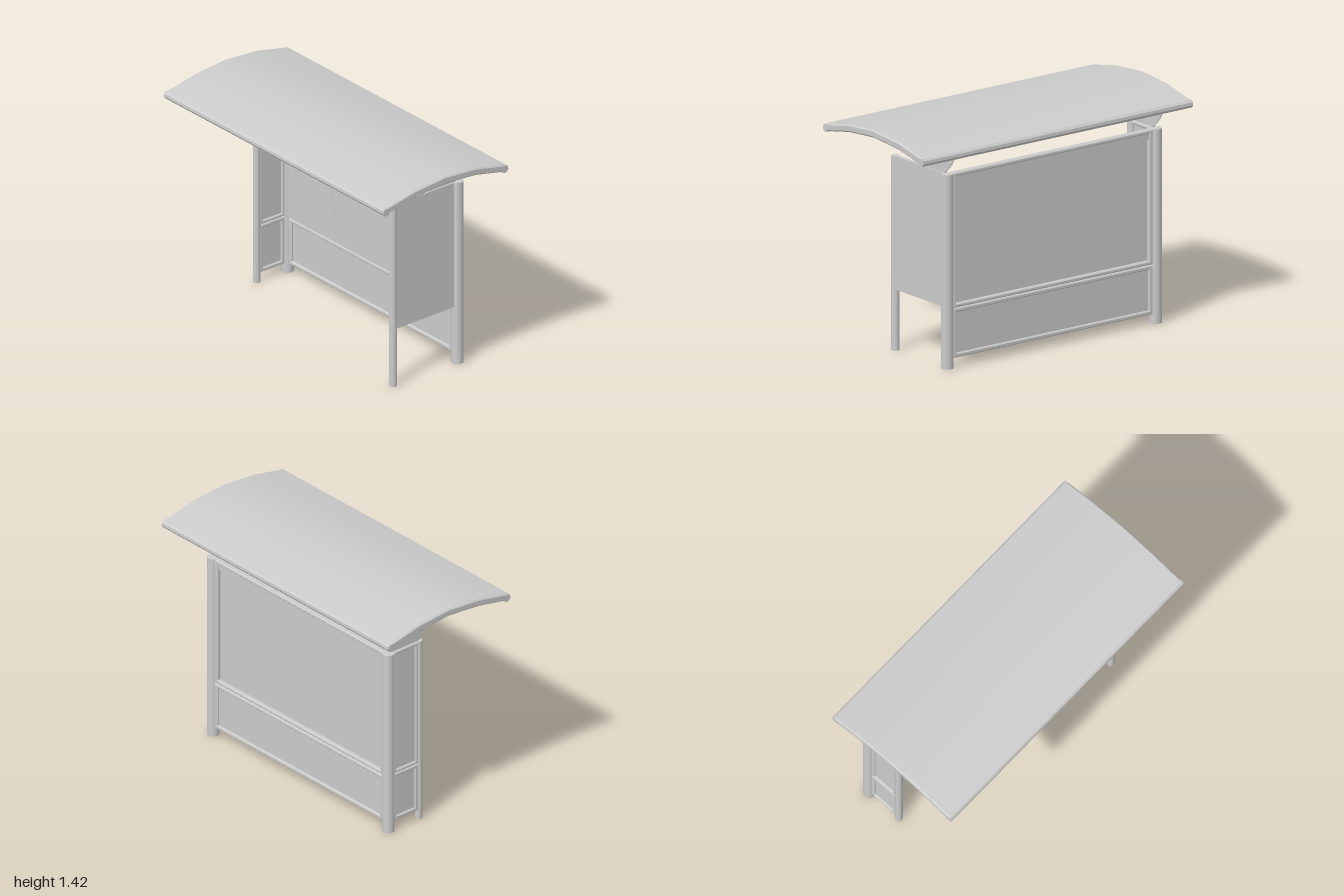
import * as THREE from 'three';
import { toCreasedNormals } from 'three/addons/utils/BufferGeometryUtils.js';

const grey = new THREE.MeshStandardMaterial({ color: 0xcccccc });
const sheetGrey = new THREE.MeshStandardMaterial({ color: 0xcccccc, side: THREE.DoubleSide });

const polygon = (pts) => new THREE.Shape(pts.map(([x, y]) => new THREE.Vector2(x, y)));

// roof curve: points of (z, y) along the depth
const ROOF = [[-0.46, 1.35], [-0.235, 1.4], [0, 1.42], [0.235, 1.4], [0.46, 1.355]];

export function createModel() {
  const model = new THREE.Group();

  const add = (name, geometry, x = 0, y = 0, z = 0, material = grey) => {
    const mesh = new THREE.Mesh(geometry, material);
    mesh.name = name;
    mesh.position.set(x, y, z);
    model.add(mesh);
    return mesh;
  };
  const box = (name, w, h, d, x, y, z) => add(name, new THREE.BoxGeometry(w, h, d), x, y, z);

  // extrusion centred on its own depth
  const extrude = (shape, depth, bevel = 0) => {
    const g = new THREE.ExtrudeGeometry(shape, {
      depth: depth - 2 * bevel, bevelEnabled: bevel > 0, bevelSize: bevel,
      bevelThickness: bevel, bevelOffset: -bevel, bevelSegments: 1, curveSegments: 10,
    });
    g.translate(0, 0, -depth / 2 + bevel);
    return toCreasedNormals(g, 0.5);
  };

  // rectangular frame with a chamfered inner edge
  const frame = (w, h, bar, depth) => {
    const rect = (a, b) => [[-a, -b], [a, -b], [a, b], [-a, b]];
    const s = polygon(rect(w / 2, h / 2));
    s.holes.push(new THREE.Path(polygon(rect(w / 2 - bar, h / 2 - bar)).getPoints().reverse()));
    return extrude(s, depth, 0.006);
  };

  // posts: two thick ones at the back, two thin ones in front
  const LEFT = 0.71, RIGHT = -0.835, BACK = -0.33;
  const post = (name, r, x, z) =>
    add(name, new THREE.CylinderGeometry(r, r, 1.18, 24), x, 0.59, z);
  post('backPostLeft', 0.037, LEFT, BACK);
  post('backPostRight', 0.037, RIGHT, BACK);
  post('frontPostLeft', 0.024, LEFT, 0.158);
  post('frontPostRight', 0.022, RIGHT, -0.095);

  // back wall: upper pane flush with the inside, lower panel recessed on both sides
  const wallX = (LEFT + RIGHT) / 2, wallW = 1.48;
  box('backUpperPane', wallW, 0.82, 0.012, wallX, 0.77, BACK + 0.012);
  add('backUpperFrame', frame(wallW, 0.82, 0.024, 0.036), wallX, 0.77, BACK);
  box('backTopRail', wallW - 0.02, 0.06, 0.01, wallX, 1.15, BACK - 0.004);
  box('backLowerPanel', wallW, 0.29, 0.012, wallX, 0.208, BACK);
  add('backLowerFrame', frame(wallW, 0.3, 0.026, 0.04), wallX, 0.208, BACK);

  // tilted notice sheet on the inside of the back wall
  const notice = box('noticeSheet', 0.295, 0.425, 0.003, -0.558, 0.635, BACK + 0.02);
  notice.rotation.z = 0.27;

  // wide display panel on the left side, raised above the ground
  box('leftSidePanel', 0.026, 0.81, 0.44, LEFT, 0.775, -0.08);

  // narrow two-part screen on the right side
  box('rightUpperPane', 0.01, 0.8, 0.18, RIGHT, 0.775, -0.205);
  box('rightLowerPanel', 0.01, 0.3, 0.18, RIGHT, 0.212, -0.205);
  add('rightUpperFrame', frame(0.19, 0.81, 0.022, 0.032), RIGHT, 0.775, -0.205).rotation.y = Math.PI / 2;
  add('rightLowerFrame', frame(0.19, 0.31, 0.026, 0.032), RIGHT, 0.213, -0.205).rotation.y = Math.PI / 2;

  // U-shaped roof brackets, drawn with shape x pointing to the back
  const u = new THREE.Shape();
  u.moveTo(-0.01, 1.385);
  u.bezierCurveTo(0, 1.28, 0.02, 1.25, 0.1, 1.18);
  u.lineTo(0.31, 1.18);
  u.bezierCurveTo(0.375, 1.24, 0.395, 1.26, 0.405, 1.33);
  u.lineTo(0.36, 1.34);
  u.bezierCurveTo(0.365, 1.28, 0.34, 1.268, 0.3, 1.265);
  u.lineTo(0.11, 1.272);
  u.bezierCurveTo(0.04, 1.29, 0.025, 1.3, 0.028, 1.385);
  u.closePath();
  for (const [side, x] of [['Left', LEFT], ['Right', RIGHT]]) {
    add('roofBracket' + side, extrude(u, 0.006), x).rotation.y = Math.PI / 2;
  }

  // curved roof skins, smooth across the bends
  const roofSkin = (drop) => {
    const g = new THREE.PlaneGeometry(1.97, 1, 1, ROOF.length - 1);
    const p = g.attributes.position;
    for (let i = 0; i < p.count; i++) {
      const [z, y] = ROOF[Math.floor(i / 2)];
      p.setXYZ(i, p.getX(i), y - drop, z);
    }
    g.computeVertexNormals();
    return g;
  };
  add('roofTop', roofSkin(0), 0, 0, 0, sheetGrey);
  add('roofUnderside', roofSkin(0.02), 0, 0, 0, sheetGrey);

  // roof end rims: a band following the roof curve
  const upper = ROOF.map(([z, y]) => [-z, y]);
  const lower = ROOF.map(([z, y]) => [-z, y - 0.046]).reverse();
  for (const s of [-1, 1]) {
    const rim = add(s > 0 ? 'roofRimLeft' : 'roofRimRight', extrude(polygon([...upper, ...lower]), 0.03, 0.008), s * 0.985);
    rim.rotation.y = Math.PI / 2;
  }

  // rounded front and back gutters along the roof edges
  const gutter = polygon([[-0.022, 0.02], [0.008, 0.024], [0.02, 0.012], [0.022, -0.006],
    [0.012, -0.02], [-0.002, -0.026], [-0.02, -0.02]]);
  const gutterGeometry = extrude(gutter, 2);
  add('gutterFront', gutterGeometry, 0, 1.331, 0.45).rotation.y = -Math.PI / 2;
  add('gutterBack', gutterGeometry, 0, 1.325, -0.453).rotation.y = Math.PI / 2;

  // ribs under the roof
  const ribTop = ROOF.map(([z, y]) => [-z, y - 0.015]);
  const ribBottom = ROOF.map(([z, y]) => [-z, y - 0.04]).reverse();
  const ribGeometry = extrude(polygon([...ribTop, ...ribBottom]), 0.016);
  for (const [name, x] of [['ribLeft', LEFT], ['ribMiddle', wallX], ['ribRight', RIGHT]]) {
    add(name, ribGeometry, x).rotation.y = Math.PI / 2;
  }

  return model;
}
